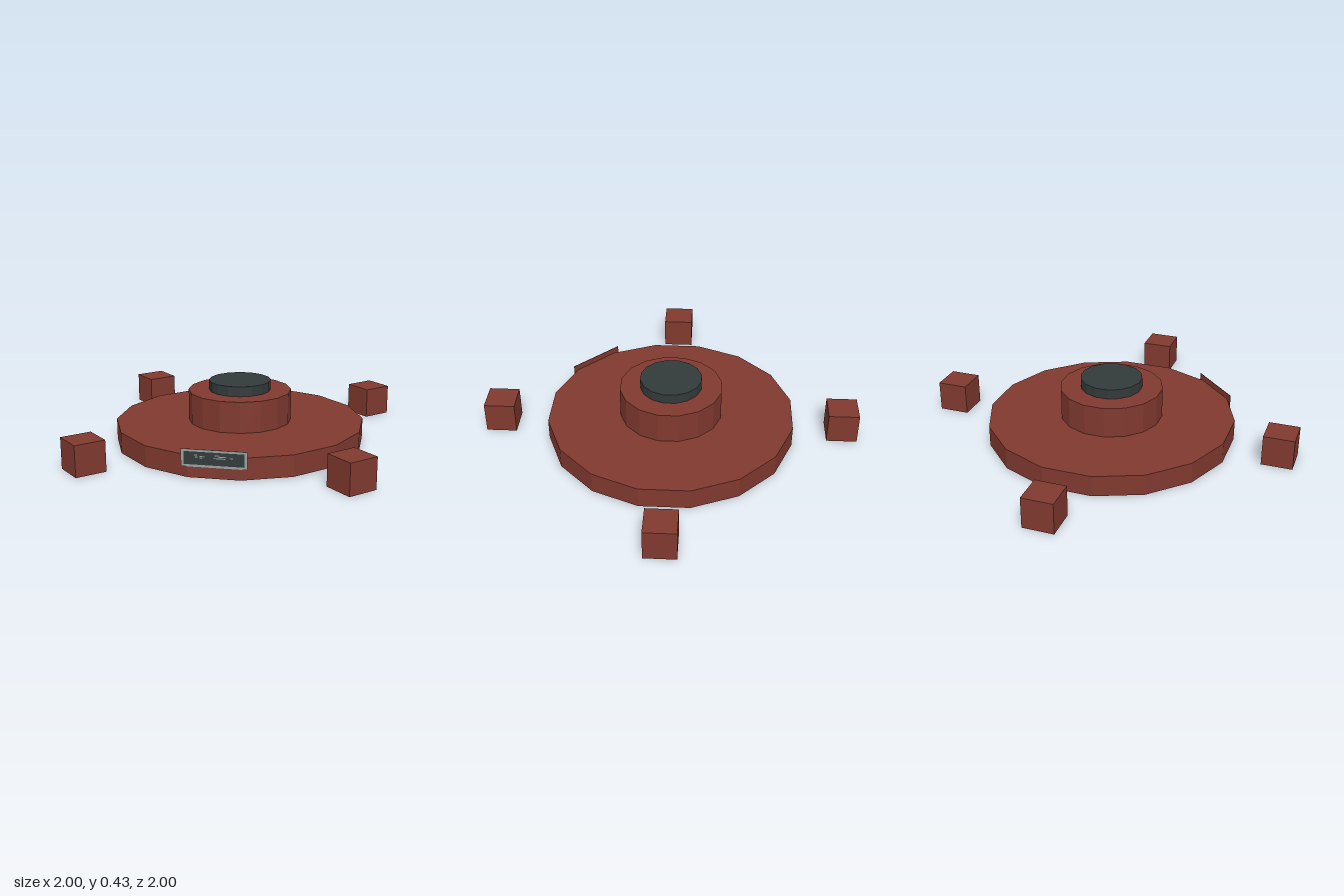
import * as THREE from 'three';

const mat = (name, color) => Object.assign(new THREE.MeshStandardMaterial({ color, flatShading: true }), { name });

export function createModel() {
  const red = mat('brick red', 0x80392f);
  red.side = THREE.DoubleSide; // the base is an open shell
  const dark = mat('dark slate', 0x333a3a);
  const grey = mat('pale grey', 0x98a2a2);
  const model = new THREE.Group();
  model.name = 'pedestal';

  const add = (name, geometry, material, x = 0, y = 0, z = 0) => {
    const mesh = new THREE.Mesh(geometry, material);
    mesh.name = name;
    mesh.position.set(x, y, z);
    model.add(mesh);
    return mesh;
  };

  // Sixteen-sided drum with a flat side facing the front
  const radius = (apothem) => apothem / Math.cos(Math.PI / 16);
  const drum = (name, apothem, y0, y1, material, open = false) => {
    const r = radius(apothem);
    const g = new THREE.CylinderGeometry(r, r, y1 - y0, 16, 1, open).rotateY(Math.PI / 16);
    add(name, g, material, 0, (y0 + y1) / 2, 0);
  };

  // Base: hollow underneath, a rim wall and a thin top
  drum('baseRim', 0.849, 0, 0.145, red, true);
  const top = new THREE.CircleGeometry(radius(0.849), 16, Math.PI / 16).rotateX(-Math.PI / 2);
  add('baseTop', top, red, 0, 0.145, 0);

  // Hub and cap on the base
  drum('hub', 0.351, 0.145, 0.36, red);
  drum('cap', 0.211, 0.36, 0.428, dark);

  // Corner posts, turned by 45 degrees
  const side = 0.15 * Math.SQRT2;
  for (const x of [-0.85, 0.85]) {
    for (const z of [-0.85, 0.85]) {
      add('cornerPost', new THREE.BoxGeometry(side, 0.212, side), red, x, 0.106, z).rotation.y = Math.PI / 4;
    }
  }

  // Front plaque: red backing, grey border, dark panel
  const plaqueY = 0.13;
  add('plaqueBacking', new THREE.BoxGeometry(0.422, 0.115, 0.004), red, 0, plaqueY, 0.85);
  const rect = (Type, w, h) => {
    const s = new Type();
    s.moveTo(-w / 2, -h / 2).lineTo(w / 2, -h / 2).lineTo(w / 2, h / 2).lineTo(-w / 2, h / 2).closePath();
    return s;
  };
  const border = rect(THREE.Shape, 0.422, 0.115);
  border.holes.push(rect(THREE.Path, 0.385, 0.085));
  add('plaqueBorder', new THREE.ShapeGeometry(border), grey, 0, plaqueY, 0.853);
  add('plaquePanel', new THREE.PlaneGeometry(0.385, 0.085), dark, 0, plaqueY, 0.853);

  // Small worn marks on the panel: x, y, width
  const marks = [
    [-0.115, 0.152, 0.02], [-0.075, 0.143, 0.03], [-0.08, 0.134, 0.02], [-0.11, 0.138, 0.015],
    [0.02, 0.153, 0.03], [0.055, 0.146, 0.05], [0.035, 0.135, 0.075], [0.11, 0.141, 0.02],
  ];
  for (const [x, y, w] of marks) add('plaqueMark', new THREE.PlaneGeometry(w, 0.006), grey, x, y, 0.855);
  return model;
}
